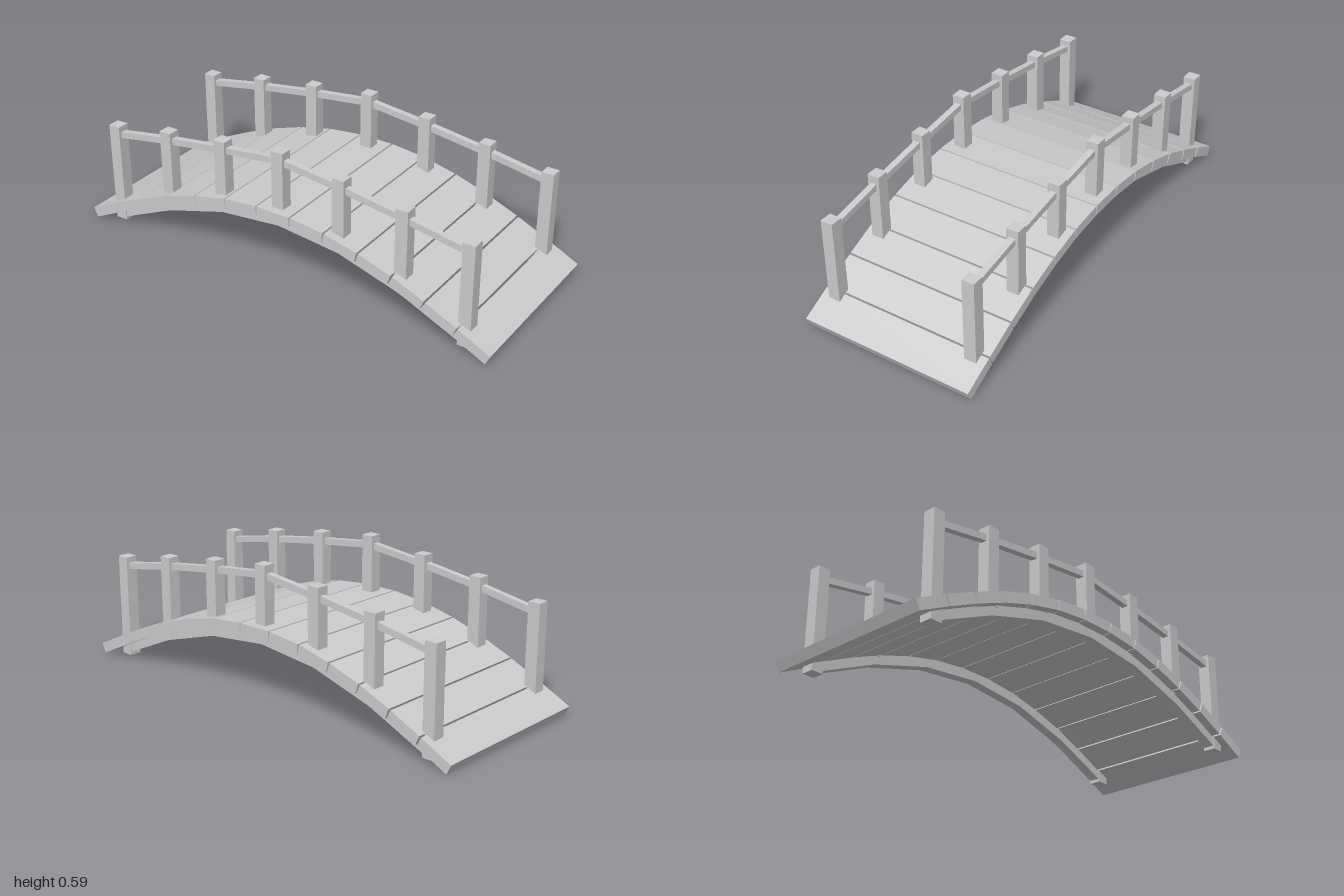
import * as THREE from 'three';

const material = new THREE.MeshStandardMaterial({ color: 0xcccccc, flatShading: true });

function box(name, w, h, d, x, y, z) {
  const mesh = new THREE.Mesh(new THREE.BoxGeometry(w, h, d), material);
  mesh.name = name;
  mesh.position.set(x, y, z);
  return mesh;
}

// Box laid from a to b in the xy plane; lift moves it along its own normal.
function beam(name, a, b, h, d, z, lift = 0, gap = 0) {
  const dx = b[0] - a[0], dy = b[1] - a[1], len = Math.hypot(dx, dy);
  const mesh = box(name, len - gap, h, d,
    (a[0] + b[0]) / 2 - (dy / len) * lift, (a[1] + b[1]) / 2 + (dx / len) * lift, z);
  mesh.rotation.z = Math.atan2(dy, dx);
  return mesh;
}

// Mirror a half profile (ordered outward from x > 0) to the full span.
const mirrored = (half) => [...half.map(([x, y]) => [-x, y]).reverse(), ...half];

export function createModel() {
  const bridge = new THREE.Group();
  bridge.name = 'archedFootbridge';

  // Deck: thirteen planks following the arch, with narrow gaps
  const deck = new THREE.Group();
  deck.name = 'deck';
  const thickness = 0.046;
  const joints = mirrored([[0.083, 0.343], [0.245, 0.326], [0.405, 0.29], [0.56, 0.241],
    [0.71, 0.18], [0.856, 0.113], [1.003, 0.0415]]);
  for (let i = 0; i < joints.length - 1; i++) {
    deck.add(beam('plank', joints[i], joints[i + 1], thickness, 0.78, 0, -thickness / 2, 0.008));
  }
  bridge.add(deck);

  // Post stations: x, post top, stringer centre height
  const half = [[0.29, 0.562, 0.253], [0.578, 0.521, 0.168], [0.866, 0.471, 0.04]];
  const stations = [...half.map(([x, t, s]) => [-x, t, s]).reverse(), [0, 0.595, 0.283], ...half];
  const postWidth = 0.0545, stringerHalf = 0.0225, stringerWidth = 0.046;

  for (const side of [1, -1]) {
    const z = side * 0.3275;
    const railing = new THREE.Group();
    railing.name = side > 0 ? 'frontRailing' : 'backRailing';

    // Posts: the end ones run down past the stringer
    stations.forEach(([x, top, s]) => {
      const bottom = Math.abs(x) > 0.8 ? 0.015 : s + 0.018;
      railing.add(box('post', postWidth, top - bottom, postWidth, x, (top + bottom) / 2, z));
    });

    // Handrail pieces between the posts
    for (let i = 0; i < stations.length - 1; i++) {
      const [a, b] = [stations[i], stations[i + 1]];
      railing.add(beam('handrail', [a[0], a[1] - 0.045], [b[0], b[1] - 0.045], 0.028, 0.028, z));
    }
    bridge.add(railing);

    // Arched stringer under the deck
    const line = stations.map(([x, , s]) => [x, s]);
    const outline = [
      ...line.map(([x, y]) => new THREE.Vector2(x, y - stringerHalf)),
      ...line.map(([x, y]) => new THREE.Vector2(x, y + stringerHalf)).reverse(),
    ];
    const geometry = new THREE.ExtrudeGeometry(new THREE.Shape(outline),
      { depth: stringerWidth, bevelEnabled: false });
    const stringer = new THREE.Mesh(geometry, material);
    stringer.name = 'stringer';
    stringer.position.z = z - stringerWidth / 2;
    bridge.add(stringer);
  }
  return bridge;
}
